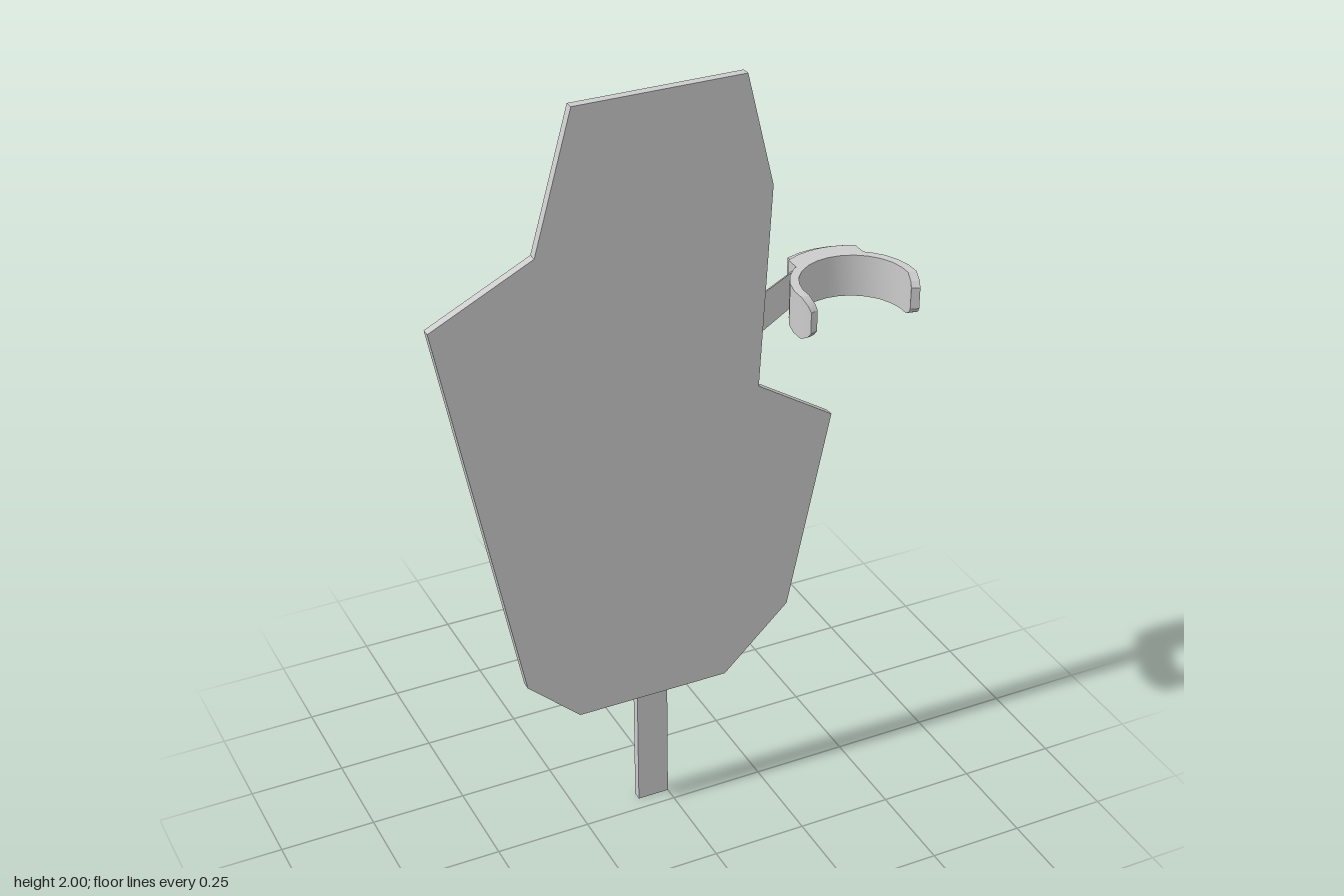
import * as THREE from 'three';
import { toCreasedNormals } from 'three/addons/utils/BufferGeometryUtils.js';

const material = new THREE.MeshStandardMaterial({ color: 0xcccccc });
const LEAN = -0.0105; // the flat parts lean back slightly with height

function makeMesh(name, positions, crease) {
  let geometry = new THREE.BufferGeometry();
  geometry.setAttribute('position', new THREE.Float32BufferAttribute(positions, 3));
  geometry = toCreasedNormals(geometry, crease);
  const mesh = new THREE.Mesh(geometry, material);
  mesh.name = name;
  return mesh;
}

// Solid between a front and a back outline (both counter-clockwise), leaning with height
function slab(name, front, zFront, back, zBack) {
  const out = [];
  const put = ([x, y], z) => out.push(x, y, z + LEAN * y);
  const caps = THREE.ShapeUtils.triangulateShape(front.map(p => new THREE.Vector2(...p)), []);
  for (const [a, b, c] of caps) {
    for (const i of [a, b, c]) put(front[i], zFront);
    for (const i of [c, b, a]) put(back[i], zBack);
  }
  front.forEach((p, i) => {
    const j = (i + 1) % front.length;
    put(back[i], zBack); put(back[j], zBack); put(front[j], zFront);
    put(back[i], zBack); put(front[j], zFront); put(p, zFront);
  });
  return makeMesh(name, out, 0.1);
}

// Solid through a row of four-cornered sections
function loft(name, sections) {
  const out = [];
  const quad = (a, b, c, d) => out.push(...a, ...b, ...c, ...a, ...c, ...d);
  for (let i = 0; i < sections.length - 1; i++) {
    const p = sections[i], q = sections[i + 1];
    for (let k = 0; k < 4; k++) {
      const n = (k + 1) % 4;
      quad(p[k], p[n], q[n], q[k]);
    }
  }
  const first = sections[0], last = sections[sections.length - 1];
  quad(first[3], first[2], first[1], first[0]);
  quad(last[0], last[1], last[2], last[3]);
  return makeMesh(name, out, 0.45);
}

const section = ([xi, zi], [xo, zo], h) => [[xi, -h, zi], [xo, -h, zo], [xo, h, zo], [xi, h, zi]];

// Ring section at an angle from the rear
function radialSection(inner, outer, degrees, h) {
  const a = THREE.MathUtils.degToRad(degrees);
  const at = r => [r * Math.sin(a), -r * Math.cos(a)];
  return section(at(inner), at(outer), h);
}

// Curved block behind the ring, with straight sides parallel to z
function rearBlock(name, inner, outer, halfWidth, h, steps) {
  const at = (r, x) => [x, -Math.sqrt(r * r - x * x)];
  const sections = [];
  for (let i = 0; i <= steps; i++) {
    const x = halfWidth * (2 * i / steps - 1);
    sections.push(section(at(inner, x), at(outer, x), h));
  }
  return loft(name, sections);
}

export function createModel() {
  const model = new THREE.Group();

  // Angular flat panel
  const panel = [
    [-0.235, 2], [-0.335, 1.65], [-0.6, 1.52], [-0.395, 0.475], [-0.255, 0.347], [0.155, 0.347],
    [0.333, 0.515], [0.448, 1.05], [0.242, 1.18], [0.273, 1.71], [0.203, 2],
  ];
  model.add(slab('panel', panel, -0.0135, panel, -0.036));

  // Stick below the panel, and the bevelled spine behind it
  const stick = [[-0.085, 0], [0, 0], [0, 0.35], [-0.085, 0.35]];
  model.add(slab('stick', stick, -0.037, stick, -0.06));
  const spineFront = [[-0.091, 0.341], [0.005, 0.341], [0.005, 1.7], [-0.005, 1.72], [-0.081, 1.72], [-0.091, 1.7]];
  const spineBack = [[-0.083, 0.341], [-0.002, 0.341], [-0.002, 1.655], [-0.008, 1.665], [-0.077, 1.665], [-0.083, 1.655]];
  model.add(slab('spine', spineFront, -0.034, spineBack, -0.06));

  // Slanted arm reaching out to the clip, bevelled along its upper edge
  const armFront = [[-0.03, 1.138], [0.36, 1.378], [0.36, 1.47], [-0.03, 1.268]];
  const armBack = [[-0.03, 1.142], [0.36, 1.382], [0.36, 1.452], [-0.03, 1.25]];
  model.add(slab('arm', armFront, -0.034, armBack, -0.059));

  // Open clip: thin jaws with rounded tips, thicker collar, rear pad
  const clip = new THREE.Group();
  clip.name = 'clip';
  clip.position.set(0.44, 1.418, 0.08);
  const tip = [[97, 0.055], [106, 0.042], [110, 0.028]];
  const stations = [...tip.map(([a, h]) => [-a, h]).reverse()];
  for (let a = -84; a <= 84; a += 14) stations.push([a, 0.055]);
  stations.push(...tip);
  clip.add(loft('jaws', stations.map(([a, h]) => radialSection(0.135, 0.157, a, h))));
  clip.add(rearBlock('collar', 0.148, 0.19, 0.0925, 0.0545, 6));
  clip.add(rearBlock('rearPad', 0.18, 0.213, 0.0775, 0.043, 4));
  model.add(clip);

  return model;
}
